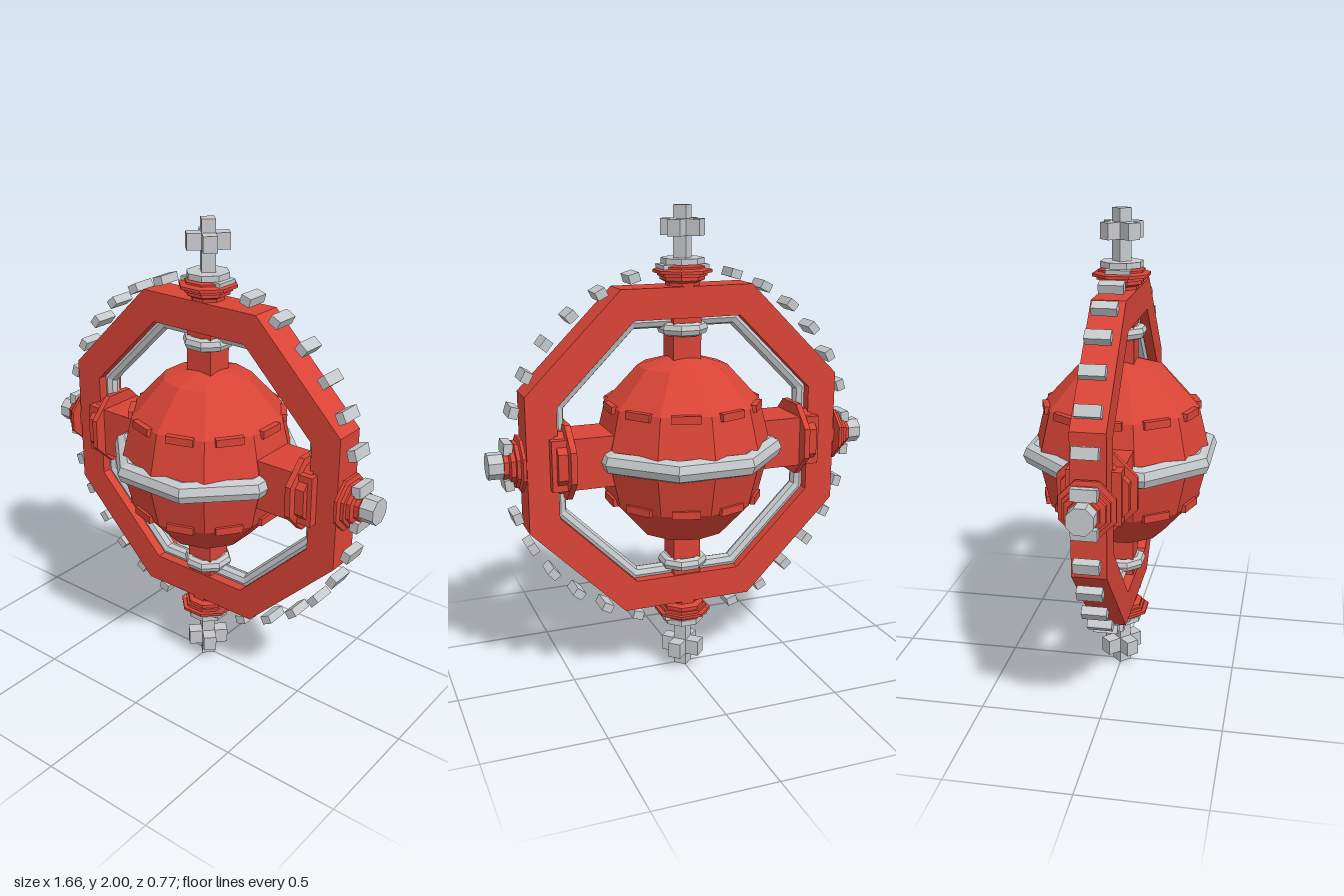
import * as THREE from 'three';

const red = new THREE.MeshStandardMaterial({ color: 0xd94436, flatShading: true });
red.name = 'red paint';
const grey = new THREE.MeshStandardMaterial({ color: 0xc6c9cc, flatShading: true });
grey.name = 'grey metal';
const FLAT = 1 / Math.cos(Math.PI / 8); // apothem to corner radius of an octagon

function add(parent, name, geometry, material, x = 0, y = 0, z = 0) {
  const m = new THREE.Mesh(geometry, material);
  m.name = name;
  m.position.set(x, y, z);
  parent.add(m);
  return m;
}

// Eight-sided turned part, flats facing the axes; points are [apothem, y]
function turned(points) {
  const p = points.map(([r, y]) => new THREE.Vector2(r * FLAT, y));
  return new THREE.LatheGeometry(p, 8).rotateY(Math.PI / 8);
}

// Eight-cornered ring lying in the xy plane, flats facing the axes
function ring(apothem, tube) {
  return new THREE.TorusGeometry(apothem * FLAT, tube, 8, 8).rotateZ(Math.PI / 8);
}

function octagon(target, apothem) {
  for (let i = 0; i < 8; i++) {
    const a = (i + 0.5) * Math.PI / 4, r = apothem * FLAT;
    target[i ? 'lineTo' : 'moveTo'](r * Math.cos(a), r * Math.sin(a));
  }
  target.closePath();
  return target;
}

// Strut, collar and cross finial, built pointing up from the centre
function makePole() {
  const g = new THREE.Group();
  g.name = 'pole';
  add(g, 'strut', new THREE.BoxGeometry(0.12, 0.26, 0.12), red, 0, 0.46);
  add(g, 'strutRing', ring(0.072, 0.028).rotateX(Math.PI / 2), grey, 0, 0.508);
  add(g, 'collar', turned([[0.065, 0.67], [0.065, 0.695], [0.085, 0.705], [0.085, 0.72], [0.095, 0.72],
    [0.095, 0.733], [0.112, 0.733], [0.112, 0.745], [0.09, 0.752], [0.09, 0.76], [0.06, 0.77], [0, 0.77]]), red);
  add(g, 'collarDisc', turned([[0, 0.768], [0.082, 0.768], [0.082, 0.792], [0, 0.792]]), grey);
  const finial = new THREE.Group();
  finial.name = 'finial';
  finial.rotation.y = Math.PI / 4;
  add(finial, 'post', new THREE.BoxGeometry(0.056, 0.215, 0.056), grey, 0, 0.8925);
  add(finial, 'crossBarX', new THREE.BoxGeometry(0.172, 0.066, 0.056), grey, 0, 0.913);
  add(finial, 'crossBarZ', new THREE.BoxGeometry(0.056, 0.066, 0.172), grey, 0, 0.913);
  g.add(finial);
  return g;
}

// Thick arm with flange, stepped hub and end pin, built pointing up
function makeArm() {
  const g = new THREE.Group();
  g.name = 'arm';
  add(g, 'armBeam', new THREE.BoxGeometry(0.212, 0.31, 0.212), red, 0, 0.435);
  add(g, 'flange', turned([[0, 0.5], [0.155, 0.5], [0.155, 0.525], [0.13, 0.53], [0.13, 0.57], [0, 0.57]]), red);
  add(g, 'hub', turned([[0.065, 0.67], [0.065, 0.69], [0.108, 0.692], [0.108, 0.705], [0.09, 0.71], [0.09, 0.725],
    [0.077, 0.727], [0.077, 0.745], [0.058, 0.75], [0.058, 0.77], [0, 0.77]]), red);
  add(g, 'endPin', turned([[0, 0.76], [0.051, 0.76], [0.051, 0.83], [0, 0.83]]), grey);
  return g;
}

export function createModel() {
  const model = new THREE.Group();
  model.name = 'model';
  const core = new THREE.Group();
  core.name = 'core';
  core.position.y = 1;
  model.add(core);

  // Faceted ball and its belt
  const ball = new THREE.SphereGeometry(0.375, 10, 6).rotateY(Math.PI / 2).scale(1, 1.09, 1);
  add(core, 'ball', ball, red);
  add(core, 'belt', ring(0.345, 0.046).rotateX(Math.PI / 2), grey);

  // Small lugs on the upper and lower edges of each facet
  for (let i = 0; i < 10; i++) {
    const a = (i + 0.5) * Math.PI / 5;
    for (const s of [1, -1]) {
      const lug = add(core, 'lug', new THREE.BoxGeometry(0.115, 0.032, 0.05), red,
        0.302 * Math.sin(a), s * 0.196, 0.302 * Math.cos(a));
      lug.rotation.y = a;
    }
  }

  // Octagonal frame with inner lining
  const shape = octagon(new THREE.Shape(), 0.682);
  shape.holes.push(octagon(new THREE.Path(), 0.555));
  const frame = new THREE.ExtrudeGeometry(shape, { depth: 0.136, bevelEnabled: false });
  add(core, 'frame', frame.translate(0, 0, -0.068), red);
  add(core, 'frameLining', ring(0.542, 0.032), grey);

  // Floating teeth around the frame
  for (let i = 0; i < 32; i++) {
    const a = (i + 0.5) * Math.PI / 16;
    const tooth = add(core, 'tooth', new THREE.BoxGeometry(0.036, 0.046, 0.1), grey,
      0.754 * Math.cos(a), 0.754 * Math.sin(a), 0);
    tooth.rotation.z = a;
  }

  // Poles above and below, arms left and right
  for (let i = 0; i < 4; i++) {
    const part = i % 2 ? makeArm() : makePole();
    part.rotation.z = i * Math.PI / 2;
    core.add(part);
  }
  return model;
}
